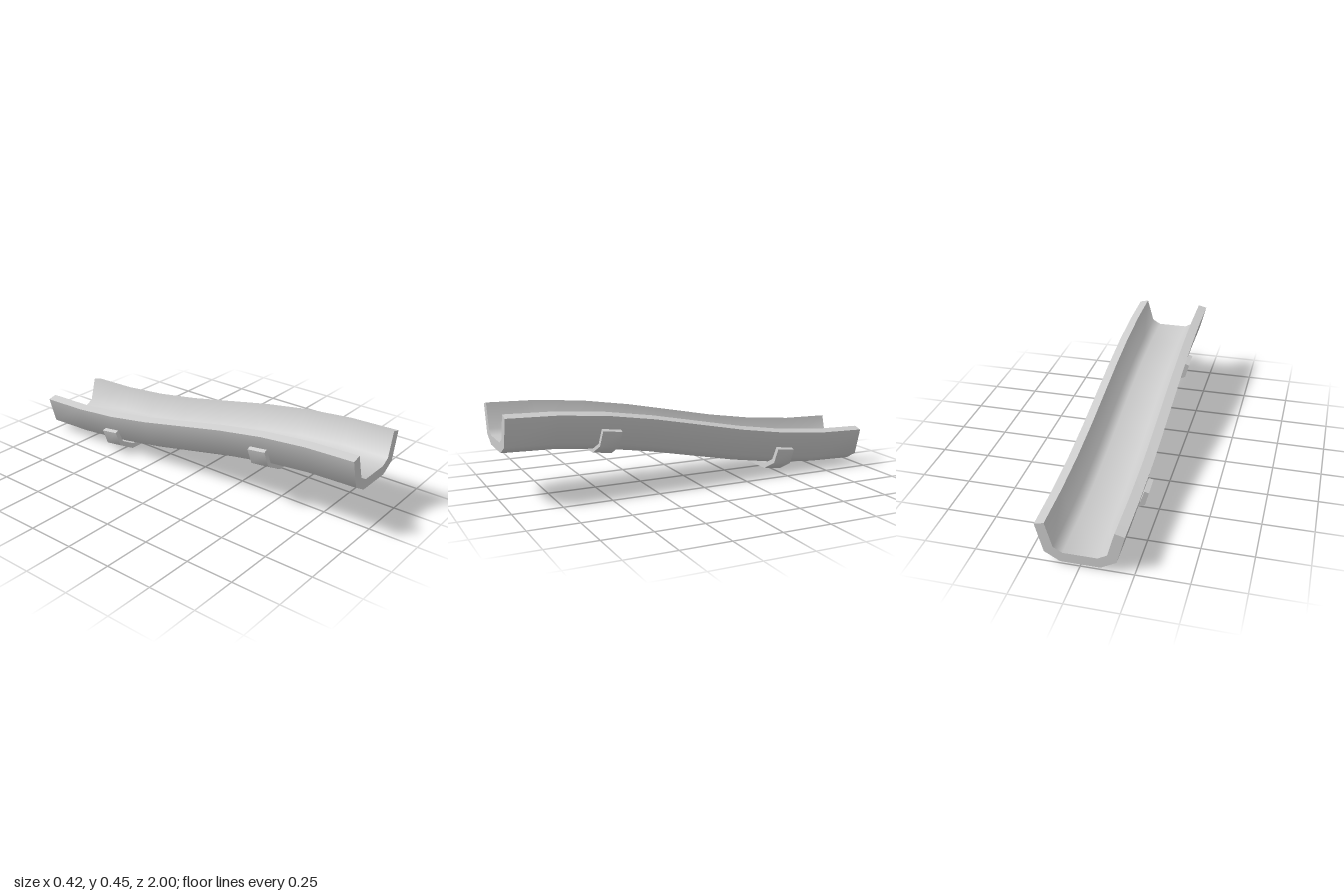
import * as THREE from 'three';
import { toCreasedNormals } from 'three/addons/utils/BufferGeometryUtils.js';

const material = new THREE.MeshStandardMaterial({ color: 0xcccccc });

// Mirrored U-shaped section from the right half: outer edge going up, then inner edge going down
function uShape(outer, inner) {
  const mirror = (pts) => pts.map(([x, y]) => [-x, y]).reverse();
  const loop = [...outer, ...inner, ...mirror(inner), ...mirror(outer)];
  return new THREE.Shape(loop.map(([x, y]) => new THREE.Vector2(x, y)));
}

// Extrude a section along z, centred on z = 0
function extrude(shape, depth, steps) {
  const geometry = new THREE.ExtrudeGeometry(shape, { depth, steps, bevelEnabled: false });
  return geometry.translate(0, 0, -depth / 2);
}

function addMesh(group, name, geometry) {
  const mesh = new THREE.Mesh(toCreasedNormals(geometry, 1), material);
  mesh.name = name;
  group.add(mesh);
  return mesh;
}

export function createModel() {
  const group = new THREE.Group();
  group.name = 'slopedChannel';

  // Open channel following an S-shaped slope, higher at the front
  const steps = 8;
  const slope = new THREE.CubicBezierCurve(
    new THREE.Vector2(-1, 0.01), new THREE.Vector2(-0.16, 0.01),
    new THREE.Vector2(0.16, 0.256), new THREE.Vector2(1, 0.256),
  ).getSpacedPoints(steps);
  const channel = extrude(uShape(
    [[0.094, 0], [0.168, 0.042], [0.207, 0.187]],
    [[0.16, 0.199], [0.125, 0.074], [0.081, 0.049]],
  ), 2, steps);
  const pos = channel.attributes.position;
  for (let i = 0; i < pos.count; i++) {
    const station = slope[Math.round((pos.getZ(i) + 1) * steps / 2)];
    pos.setY(i, pos.getY(i) + station.y);
    pos.setZ(i, station.x);
  }
  addMesh(group, 'channel', channel);

  // Two brackets wrapped under the channel, tilted with the slope
  const bracketShape = uShape(
    [[0.1, 0], [0.189, 0.05], [0.211, 0.13]],
    [[0.189, 0.137], [0.166, 0.066], [0.092, 0.026]],
  );
  for (const [name, y, z] of [['frontBracket', 0.2035, 0.495], ['rearBracket', 0.0065, -0.495]]) {
    const bracket = addMesh(group, name, extrude(bracketShape, 0.1, 1));
    bracket.position.set(0, y, z);
    bracket.rotation.x = -0.13;
  }
  return group;
}
